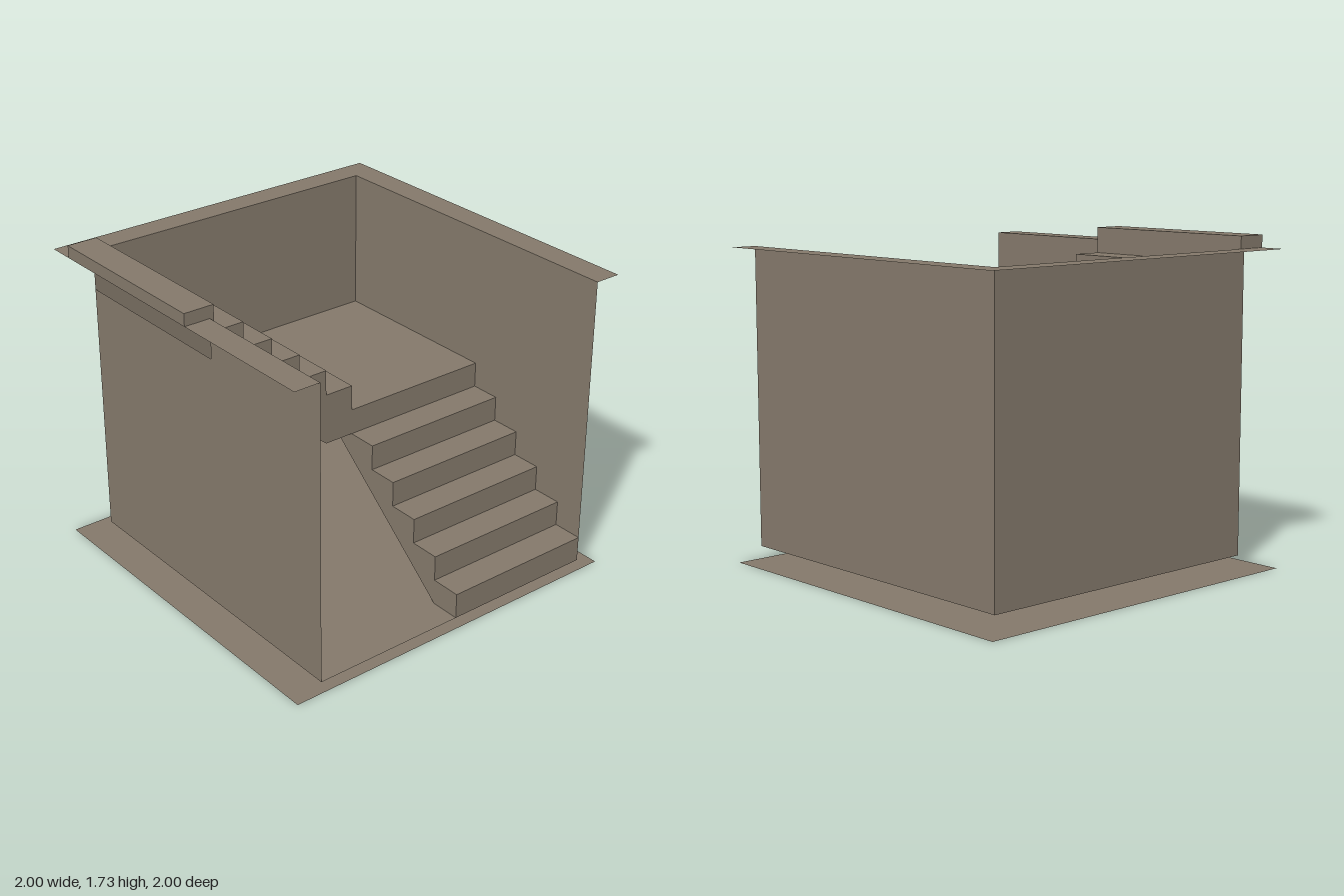
import * as THREE from 'three';

const W = 0.857;        // half width of the stairwell
const FLOOR = 0.067;    // inner floor level
const TOP = 1.667;      // upper floor level
const RISE = 1.6667 / 12;
const RUN = 1 / 6;
const level = (k) => FLOOR + k * RISE;

// Ways of placing a flat (u, v) outline, with w as the depth
const facingZ = (u, v, w) => [u, v, w];
const facingX = (u, v, w) => [w, v, u];
const facingY = (u, v, w) => [u, w, v];

export function createModel() {
  const model = new THREE.Group();
  const concrete = new THREE.MeshStandardMaterial({ color: 0x83786a, side: THREE.DoubleSide });
  concrete.name = 'taupe concrete';

  function add(name, geometry) {
    geometry.computeVertexNormals();
    const mesh = new THREE.Mesh(geometry, concrete);
    mesh.name = name;
    model.add(mesh);
  }

  // Thin flat panel with a polygon outline
  function panel(name, outline, place, w) {
    const shape = new THREE.Shape(outline.map(([u, v]) => new THREE.Vector2(u, v)));
    const geometry = new THREE.ShapeGeometry(shape);
    const p = geometry.attributes.position;
    for (let i = 0; i < p.count; i++) p.setXYZ(i, ...place(p.getX(i), p.getY(i), w));
    add(name, geometry);
  }

  // Folded sheet: a profile swept from depth w0 to w1
  function ribbon(name, profile, place, w0, w1) {
    const v = [];
    for (let i = 0; i + 1 < profile.length; i++) {
      const [a, b] = [profile[i], profile[i + 1]];
      const q = [place(...a, w0), place(...b, w0), place(...b, w1), place(...a, w1)];
      for (const k of [0, 1, 2, 0, 2, 3]) v.push(...q[k]);
    }
    const geometry = new THREE.BufferGeometry();
    geometry.setAttribute('position', new THREE.Float32BufferAttribute(v, 3));
    add(name, geometry);
  }

  const rect = (u0, v0, u1, v1) => [[u0, v0], [u1, v0], [u1, v1], [u0, v1]];

  // Zigzag of risers and treads, going towards negative u
  function steps(start, firstLevel, count) {
    const pts = [];
    for (let i = 0; i < count; i++) {
      const y = level(firstLevel + i + 1);
      pts.push([start - i * RUN, y], [start - (i + 1) * RUN, y]);
    }
    return pts;
  }

  // Floors
  panel('groundSlab', rect(-1, -1, 1, 1), facingY, 0);
  panel('innerFloor', rect(-W, -W, W, 1), facingY, FLOOR);

  // Upper floor rim, open where the stair arrives
  panel('upperFloorRim', [[-1, -1], [1, -1], [1, 1], [W, 1], [W, -W], [-1, -W]], facingY, TOP);
  panel('upperFloorStrip', rect(-1, RUN, -W, 1), facingY, TOP);

  // Walls
  panel('backWall', rect(-W, FLOOR, W, TOP), facingZ, -W);
  panel('leftWall', rect(-W, FLOOR, 1, TOP), facingX, W);
  panel('rightWall', [[-W, FLOOR], [1, FLOOR], [1, TOP], [RUN, TOP], [RUN, level(10)], [-W, level(10)]], facingX, -W);

  // Lower flight and landing
  const lower = [[1, FLOOR], ...steps(1, 0, 5)];
  ribbon('lowerSteps', [...lower, [RUN, level(6)], [-W, level(6)]], facingX, 0, W);
  ribbon('lowerUnderside', [[1 - RUN, FLOOR], [0, level(5)], [-W, level(5)]], facingX, 0, W);
  panel('lowerStringer', [...lower, [0, level(5)], [1 - RUN, FLOOR]], facingX, 0);
  panel('landingEdge', rect(0, level(5), W, level(6)), facingZ, RUN);

  // Upper flight, ending in a raised top step without a bottom
  const upper = [[0, level(6)], ...steps(0, 6, 6)];
  const slopeEnd = [-W, level(5) + (W - RUN) * RISE / RUN];
  ribbon('upperSteps', [...upper, [-1, TOP]], facingZ, -W, RUN);
  ribbon('upperUnderside', [[0, level(5)], [-RUN, level(5)], slopeEnd], facingZ, -W, RUN);
  panel('upperStringer', [[0, level(5)], ...upper, [-1, TOP], [-W, TOP], slopeEnd, [-RUN, level(5)]], facingZ, RUN);
  panel('topStepEnd', rect(-1, TOP, -5 * RUN, level(12)), facingZ, -W);

  return model;
}
